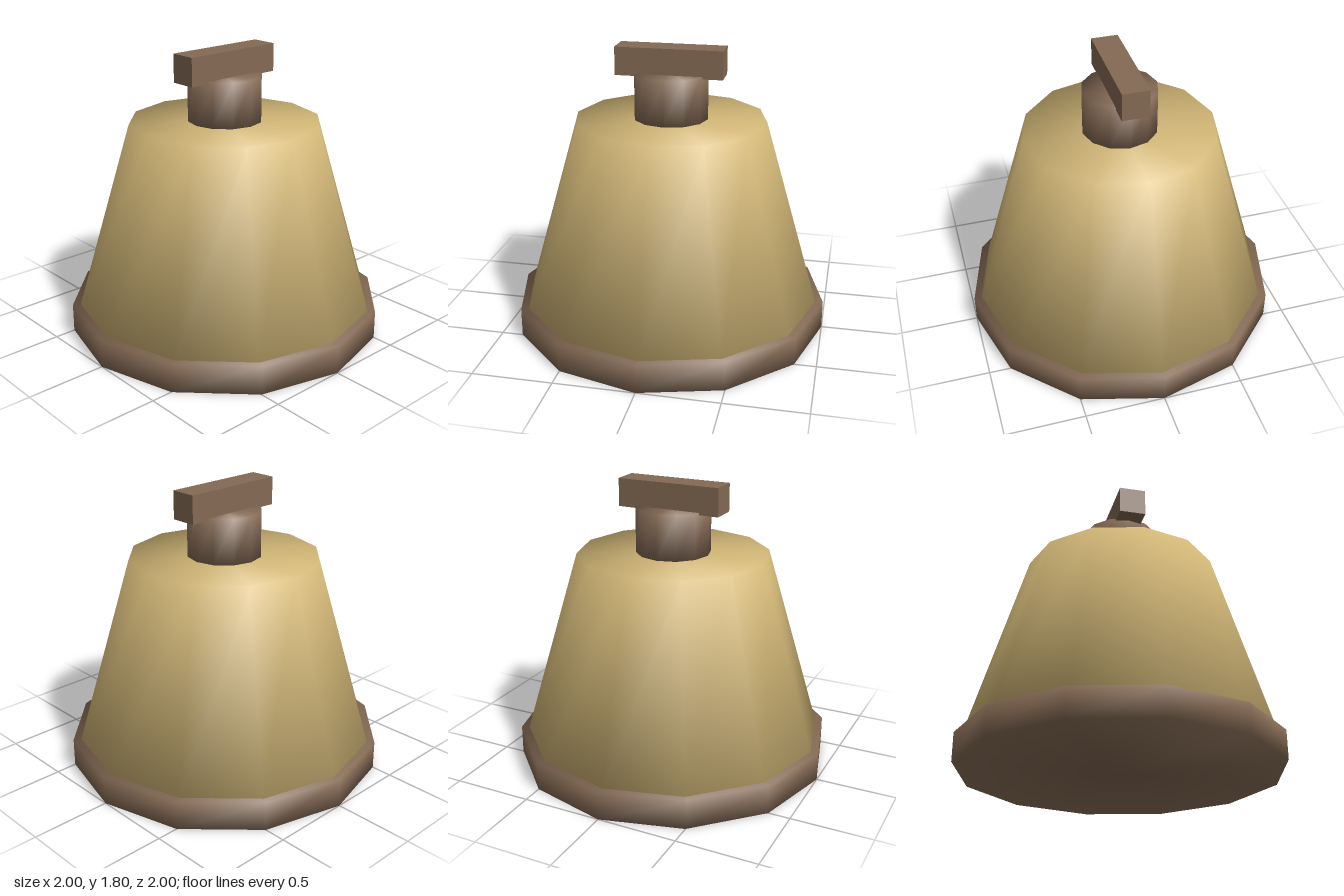
import * as THREE from 'three';
import { mergeVertices } from 'three/addons/utils/BufferGeometryUtils.js';

// Closed 12-sided drum whose normals run smoothly over sides and caps
function softDrum(rTop, rBottom, y0, y1) {
  const h = y1 - y0;
  const geo = new THREE.CylinderGeometry(rTop, rBottom, h, 12);
  geo.deleteAttribute('uv');
  const side = new THREE.Vector2(h, rBottom - rTop).normalize();
  const pos = geo.attributes.position;
  const n = new THREE.Vector3();
  for (let i = 0; i < pos.count; i++) {
    const up = Math.sign(pos.getY(i));
    n.set(pos.getX(i), 0, pos.getZ(i));
    if (n.length() < 1e-4) n.set(0, up, 0);
    else {
      n.setLength(3 * side.x);
      n.y = 3 * side.y + 2 * up;
      n.normalize();
    }
    geo.attributes.normal.setXYZ(i, n.x, n.y, n.z);
  }
  return mergeVertices(geo.translate(0, (y0 + y1) / 2, 0));
}

export function createModel() {
  const brass = new THREE.MeshStandardMaterial({ color: 0xd1b676 });
  brass.name = 'brass';
  const brown = new THREE.MeshStandardMaterial({ color: 0x846a54 });
  brown.name = 'brown';

  const model = new THREE.Group();
  model.name = 'bell';
  const add = (name, geo, mat) => {
    const mesh = new THREE.Mesh(geo, mat);
    mesh.name = name;
    model.add(mesh);
  };

  // Base rim, tapered body, neck and crossbar
  add('rim', softDrum(1, 1, 0, 0.18), brown);
  add('body', softDrum(0.6, 0.95, 0.18, 1.36), brass);
  add('neck', softDrum(0.233, 0.233, 1.36, 1.643), brown);
  add('crossbar', new THREE.BoxGeometry(0.667, 0.175, 0.167).translate(0, 1.717, 0), brown);

  return model;
}
